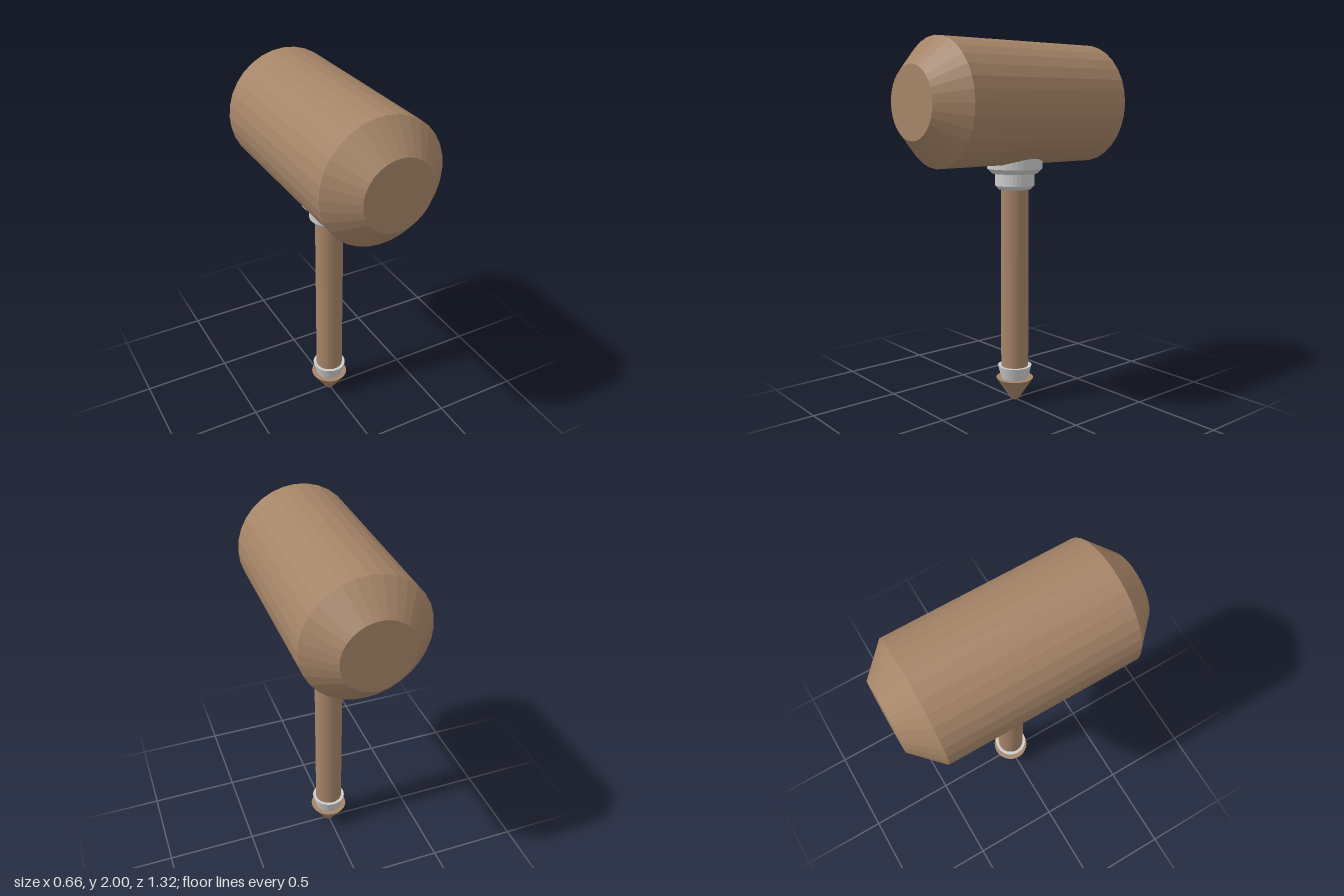
import * as THREE from 'three';

const wood = new THREE.MeshStandardMaterial({ color: 0xa58467, flatShading: true });
const metal = new THREE.MeshStandardMaterial({ color: 0xcccccc, flatShading: true });

// Closed turned part from [radius, height] pairs, listed bottom to top
function turned(name, profile, material, sides = 32) {
  const points = profile.map(([r, y]) => new THREE.Vector2(r, y));
  const mesh = new THREE.Mesh(new THREE.LatheGeometry(points, sides), material);
  mesh.name = name;
  return mesh;
}

export function createModel() {
  const hammer = new THREE.Group();
  hammer.name = 'mallet';

  // Barrel-shaped head with chamfered ends, lying along z
  const head = turned('head', [
    [0, -0.658], [0.187, -0.658], [0.331, -0.515],
    [0.331, 0.515], [0.187, 0.658], [0, 0.658],
  ], wood);
  head.rotation.x = Math.PI / 2;
  head.position.y = 1.669;
  hammer.add(head);

  // Stepped collar between head and handle
  hammer.add(turned('collar', [
    [0, 1.205], [0.09, 1.205], [0.108, 1.225], [0.108, 1.292],
    [0.125, 1.292], [0.152, 1.318], [0.152, 1.4], [0, 1.4],
  ], metal));

  // Handle
  hammer.add(turned('handle', [[0, 0.1], [0.077, 0.1], [0.077, 1.25], [0, 1.25]], wood));

  // Flared ferrule above the pommel
  hammer.add(turned('ferrule', [[0, 0.12], [0.077, 0.127], [0.095, 0.2], [0, 0.2]], metal));

  // Tapered pommel
  hammer.add(turned('pommel', [[0, 0], [0.022, 0], [0.105, 0.127], [0, 0.127]], wood));

  return hammer;
}
